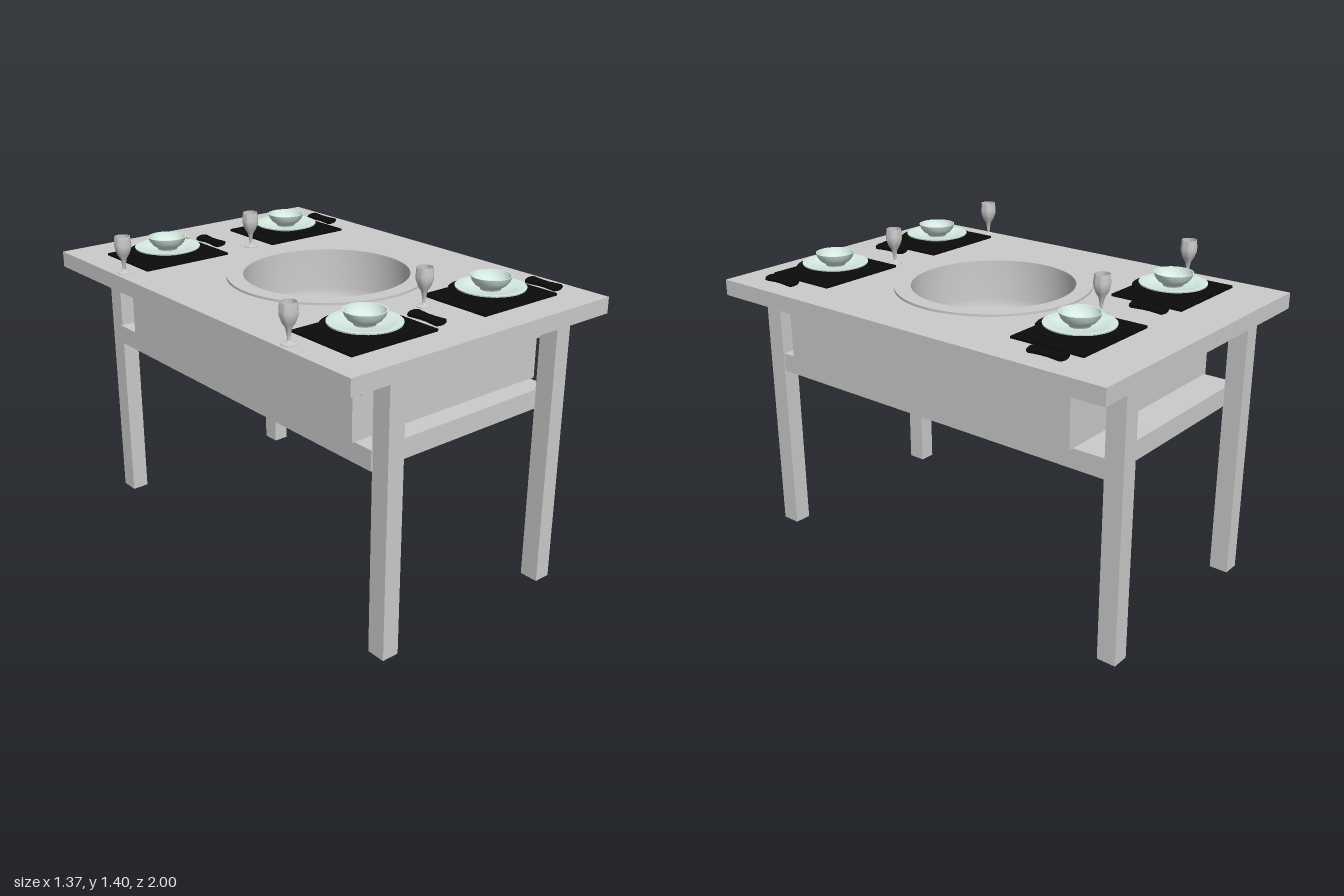
import * as THREE from 'three';
import { toCreasedNormals } from 'three/addons/utils/BufferGeometryUtils.js';

const grey = new THREE.MeshStandardMaterial({ color: 0xcccccc, side: THREE.DoubleSide });
const black = new THREE.MeshStandardMaterial({ color: 0x0b0b0b, side: THREE.DoubleSide });
const mint = new THREE.MeshStandardMaterial({ color: 0xd6ebe3, side: THREE.DoubleSide });

const TOP = 1.24;

function add(parent, name, geometry, material) {
  const mesh = new THREE.Mesh(geometry, material);
  mesh.name = name;
  parent.add(mesh);
  return mesh;
}

// Box given by its limits on each axis
function box(parent, name, [x0, x1], [y0, y1], [z0, z1], material = grey) {
  const mesh = add(parent, name, new THREE.BoxGeometry(x1 - x0, y1 - y0, z1 - z0), material);
  mesh.position.set((x0 + x1) / 2, (y0 + y1) / 2, (z0 + z1) / 2);
  return mesh;
}

// Turned part from [radius, height] pairs
function turned(parent, name, profile, material, segments = 40) {
  const points = profile.map(([r, y]) => new THREE.Vector2(r, y));
  return add(parent, name, toCreasedNormals(new THREE.LatheGeometry(points, segments), 0.7), material);
}

// Hollow rectangular frame of four boards
function frame(parent, name, [x0, x1], y, [z0, z1], t) {
  const group = new THREE.Group();
  group.name = name;
  box(group, name + 'Right', [x0, x0 + t], y, [z0, z1]);
  box(group, name + 'Left', [x1 - t, x1], y, [z0, z1]);
  box(group, name + 'Back', [x0 + t, x1 - t], y, [z0, z0 + t]);
  box(group, name + 'Front', [x0 + t, x1 - t], y, [z1 - t, z1]);
  parent.add(group);
}

function createTable() {
  const table = new THREE.Group();
  table.name = 'table';

  // Tabletop with an opening for the basin
  const outline = new THREE.Shape();
  outline.moveTo(-0.688, -1).lineTo(0.685, -1).lineTo(0.685, 1).lineTo(-0.688, 1).closePath();
  const hole = new THREE.Path();
  hole.absellipse(0.015, -0.037, 0.365, 0.355, 0, Math.PI * 2, true);
  outline.holes.push(hole);
  const slab = new THREE.ExtrudeGeometry(outline, { depth: 0.07, bevelEnabled: false, curveSegments: 48 });
  slab.rotateX(-Math.PI / 2);
  add(table, 'tabletop', slab, grey).position.y = TOP - 0.07;

  // Raised rim and rounded sunken bowl
  const profile = [[0.432, TOP - 0.01], [0.432, TOP + 0.01], [0.36, TOP + 0.01], [0.36, 1.07]];
  for (let i = 1; i <= 10; i++) {
    const a = (i / 10) * Math.PI / 2;
    profile.push([0.22 + 0.14 * Math.cos(a), 1.07 - 0.13 * Math.sin(a)]);
  }
  profile.push([0, 0.935]);
  const basin = turned(table, 'basin', profile, grey, 72);
  basin.position.set(0.015, 0, 0.037);
  basin.scale.z = 0.975;

  // Apron, recessed panels and lower shelf
  frame(table, 'apron', [-0.53, 0.54], [1.095, 1.17], [-0.875, 0.88], 0.06);
  frame(table, 'panel', [-0.493, 0.516], [0.868, 1.1], [-0.735, 0.788], 0.03);
  box(table, 'shelf', [-0.482, 0.492], [0.785, 0.87], [-0.882, 0.882]);

  // Legs
  for (const x of [[-0.475, -0.398], [0.42, 0.497]])
    for (const z of [[0.88, 0.965], [-0.965, -0.88]])
      box(table, 'leg', x, [0, 1.17], z);
  return table;
}

// Front place setting around its plate centre, resting on y = 0
function createPlaceSetting() {
  const setting = new THREE.Group();
  setting.name = 'placeSetting';

  box(setting, 'placemat', [-0.21, 0.21], [0.008, 0.018], [-0.167, 0.167], black);

  turned(setting, 'charger', [
    [0, 0.005], [0.09, 0.005], [0.12, 0.018], [0.171, 0.03], [0.171, 0.035], [0.12, 0.028], [0, 0.026],
  ], black);

  turned(setting, 'plate', [
    [0, 0.027], [0.085, 0.027], [0.1, 0.036], [0.143, 0.046], [0.144, 0.052],
    [0.14, 0.053], [0.1, 0.044], [0.085, 0.038], [0, 0.038],
  ], mint);

  turned(setting, 'bowl', [
    [0, 0.038], [0.042, 0.038], [0.045, 0.046], [0.064, 0.058], [0.077, 0.074], [0.084, 0.095],
    [0.079, 0.095], [0.072, 0.077], [0.058, 0.062], [0.034, 0.052], [0, 0.05],
  ], mint);

  const glass = turned(setting, 'wineGlass', [
    [0, 0], [0.031, 0], [0.031, 0.003], [0.012, 0.007], [0.006, 0.015], [0.007, 0.03],
    [0.013, 0.062], [0.026, 0.082], [0.035, 0.108], [0.036, 0.125], [0.033, 0.16],
    [0.031, 0.16], [0.033, 0.125], [0.032, 0.108], [0.023, 0.086], [0, 0.072],
  ], grey, 24);
  glass.position.set(-0.279, 0, -0.093);

  // Gathered napkin: flattened roll with a tied waist
  const napkin = turned(setting, 'napkin', [
    [0, -0.076], [0.028, -0.077], [0.035, -0.07], [0.032, -0.045], [0.028, -0.012], [0.029, 0],
    [0.028, 0.012], [0.031, 0.045], [0.034, 0.07], [0.028, 0.077], [0, 0.076],
  ], black, 20);
  napkin.geometry.rotateX(Math.PI / 2);
  napkin.geometry.scale(1, 0.42, 1);
  napkin.position.set(0.267, 0.018, 0.05);
  return setting;
}

export function createModel() {
  const model = new THREE.Group();
  model.name = 'diningTable';
  model.add(createTable());

  // Two settings at the front, two turned toward the back
  for (const x of [-0.363, 0.308]) {
    for (const front of [true, false]) {
      const setting = createPlaceSetting();
      setting.position.set(x, TOP, front ? 0.704 : -0.623);
      if (!front) {
        for (const part of setting.children) part.position.z *= -1;
      }
      model.add(setting);
    }
  }
  return model;
}
